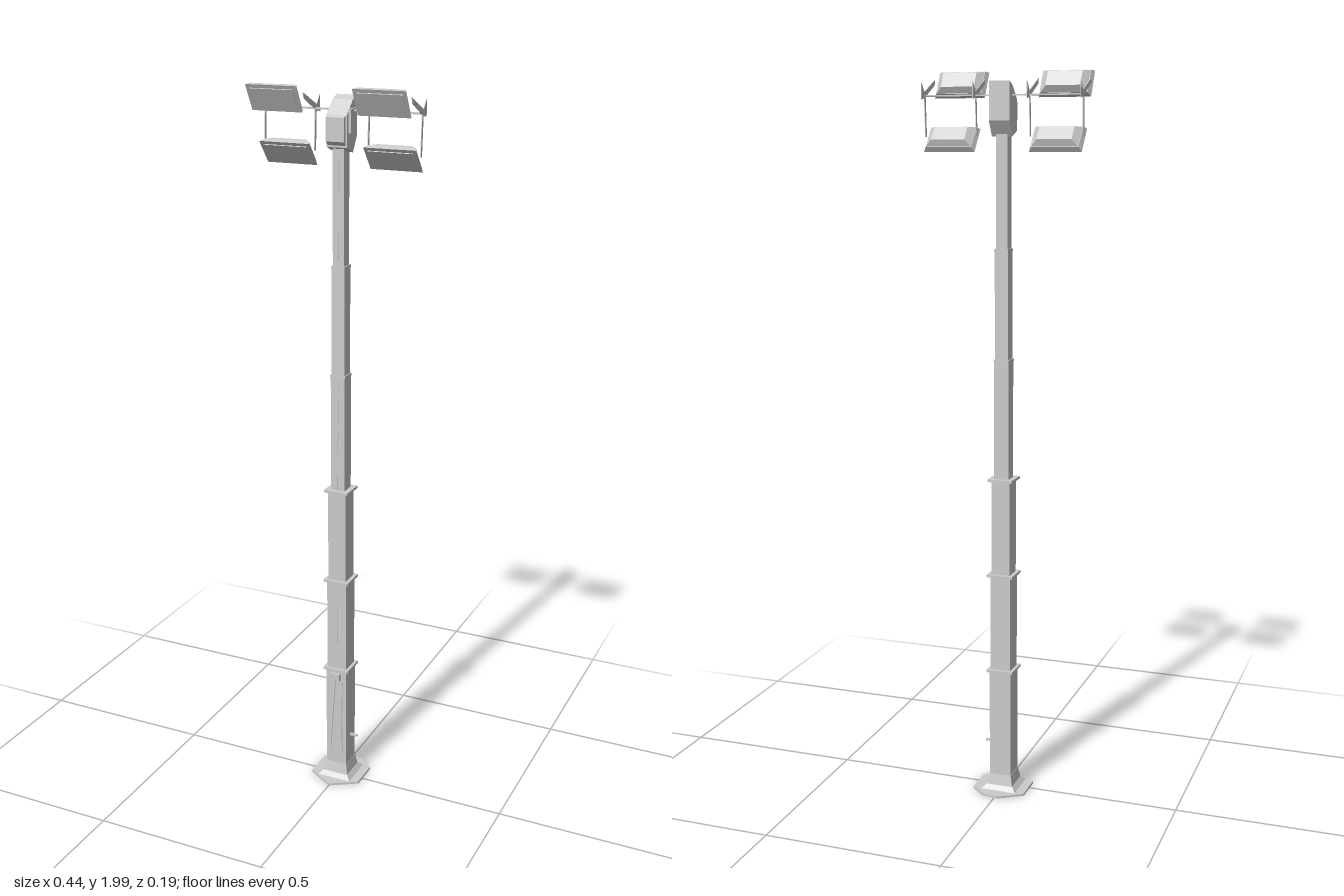
import * as THREE from 'three';

const MAST_Z = -0.01;

export function createModel() {
  const root = new THREE.Group();
  const mat = new THREE.MeshStandardMaterial({ color: 0xcccccc, flatShading: true, side: THREE.DoubleSide });

  const add = (name, geo, x = 0, y = 0, z = 0, parent = root) => {
    const m = new THREE.Mesh(geo, mat);
    m.name = name;
    m.position.set(x, y, z);
    parent.add(m);
    return m;
  };
  const box = (w, h, d) => new THREE.BoxGeometry(w, h, d);

  // Box whose +y end is resized to w2 x d2
  const taper = (w, h, d, w2, d2) => {
    const g = box(w, h, d), p = g.attributes.position;
    for (let i = 0; i < p.count; i++) {
      if (p.getY(i) > 0) {
        p.setX(i, Math.sign(p.getX(i)) * w2 / 2);
        p.setZ(i, Math.sign(p.getZ(i)) * d2 / 2);
      }
    }
    g.computeVertexNormals();
    return g;
  };

  // Side profile given as [z, y], extruded along x and centred
  const sideProfile = (pts, width) => {
    const s = new THREE.Shape(pts.map(([z, y]) => new THREE.Vector2(z, y)));
    const g = new THREE.ExtrudeGeometry(s, { depth: width, bevelEnabled: false });
    return g.translate(0, 0, -width / 2).rotateY(-Math.PI / 2);
  };

  const tube = (pts, r) => new THREE.TubeGeometry(
    new THREE.CatmullRomCurve3(pts.map(p => new THREE.Vector3(...p))), 12, r, 5);

  // Ground flange and foot
  const flange = new THREE.Shape([
    [-0.075, 0.055], [-0.01, 0.095], [0.035, 0.09], [0.075, 0.055],
    [0.075, -0.03], [0, -0.075], [-0.075, -0.03],
  ].map(([x, y]) => new THREE.Vector2(x, y)));
  add('baseFlange', new THREE.ExtrudeGeometry(flange, { depth: 0.006, bevelEnabled: false }).rotateX(-Math.PI / 2));
  add('baseMound', taper(0.1, 0.012, 0.1, 0.078, 0.078), 0, 0.012, MAST_Z);
  add('baseFoot', taper(0.076, 0.03, 0.076, 0.064, 0.064), 0, 0.033, MAST_Z);

  // Telescoping square mast: [bottom, top, width, collar width]
  [
    [0, 0.36, 0.062, 0.076],
    [0.36, 0.637, 0.058, 0.074],
    [0.637, 0.907, 0.053, 0.07],
    [0.907, 1.235, 0.041, 0.043],
    [1.235, 1.53, 0.037, 0.039],
    [1.53, 1.83, 0.032, 0],
  ].forEach(([y0, y1, w, collar], i) => {
    add('mastSection' + (i + 1), box(w, y1 - y0, w), 0, (y0 + y1) / 2, MAST_Z);
    if (collar) add('mastCollar' + (i + 1), box(collar, 0.007, collar), 0, y1 - 0.003, MAST_Z);
  });

  // Winch box, crank lever, side peg and cables on the lowest section
  add('winchBox', box(0.026, 0.02, 0.01), 0, 0.335, 0.025);
  add('crankLever', tube([[0, 0.33, 0.028], [-0.003, 0.24, 0.037], [-0.004, 0.12, 0.052]], 0.003));
  add('crankRod', tube([[0.02, 0.32, 0.024], [0.02, 0.2, 0.028], [0.02, 0.09, 0.024]], 0.002));
  add('sidePeg', box(0.025, 0.006, 0.006), 0.04, 0.135, MAST_Z);
  [[0.37, 0.62, 0.022], [0.91, 1.06, 0.027], [1.06, 1.22, 0.018], [1.55, 1.8, 0.02]].forEach(([a, b, z], i) =>
    add('cable' + (i + 1), tube([[0.004, a, z - 0.004], [0.005, (a + b) / 2, z], [0.004, b, z - 0.004]], 0.001)));

  // Mast head with slanted roof and front cover
  add('mastHead', sideProfile([
    [0.016, 1.835], [-0.022, 1.82], [-0.046, 1.86], [-0.045, 1.96], [-0.02, 1.95], [0.016, 1.915],
  ], 0.056));
  add('headCover', sideProfile([[0.016, 1.84], [0.027, 1.85], [0.027, 1.91], [0.016, 1.915]], 0.05));
  add('headSideBox', box(0.008, 0.06, 0.03), 0.031, 1.9, MAST_Z);

  // Thin crossbar carrying the lamps
  add('crossbar', box(0.425, 0.004, 0.012), 0, 1.925, -0.018);

  // Floodlight: wide lens frame in front, smaller tapered housing behind
  const floodlight = (name, x, y, z, tilt) => {
    const g = new THREE.Group();
    g.name = name;
    g.position.set(x, y, z);
    g.rotation.x = tilt;
    add('lensFrame', taper(0.128, 0.014, 0.066, 0.142, 0.076).rotateX(Math.PI / 2), 0, 0, 0.005, g);
    add('lens', box(0.122, 0.056, 0.003), 0, 0, 0.013, g);
    add('lampHousing', taper(0.094, 0.016, 0.042, 0.126, 0.064).rotateX(Math.PI / 2), 0, 0, -0.01, g);
    root.add(g);
  };

  // Lamps and their end brackets, mirrored left and right
  for (const [side, s] of [['left', 1], ['right', -1]]) {
    floodlight(side + 'UpperLamp', s * 0.146, 1.96, 0.062, 0.5);
    floodlight(side + 'LowerLamp', s * 0.146, 1.818, -0.012, 0.68);
    for (const [end, x] of [['Inner', 0.074], ['Outer', 0.217]]) {
      add(side + end + 'UpperBracket', sideProfile([
        [0.055, 1.97], [0.05, 1.955], [-0.02, 1.92], [-0.042, 1.915], [-0.042, 1.96], [-0.022, 1.935],
      ], 0.002), s * x);
      add(side + end + 'LowerBracket', sideProfile([
        [-0.022, 1.925], [-0.014, 1.925], [-0.008, 1.82], [-0.016, 1.82],
      ], 0.002), s * x);
    }
  }

  return root;
}
